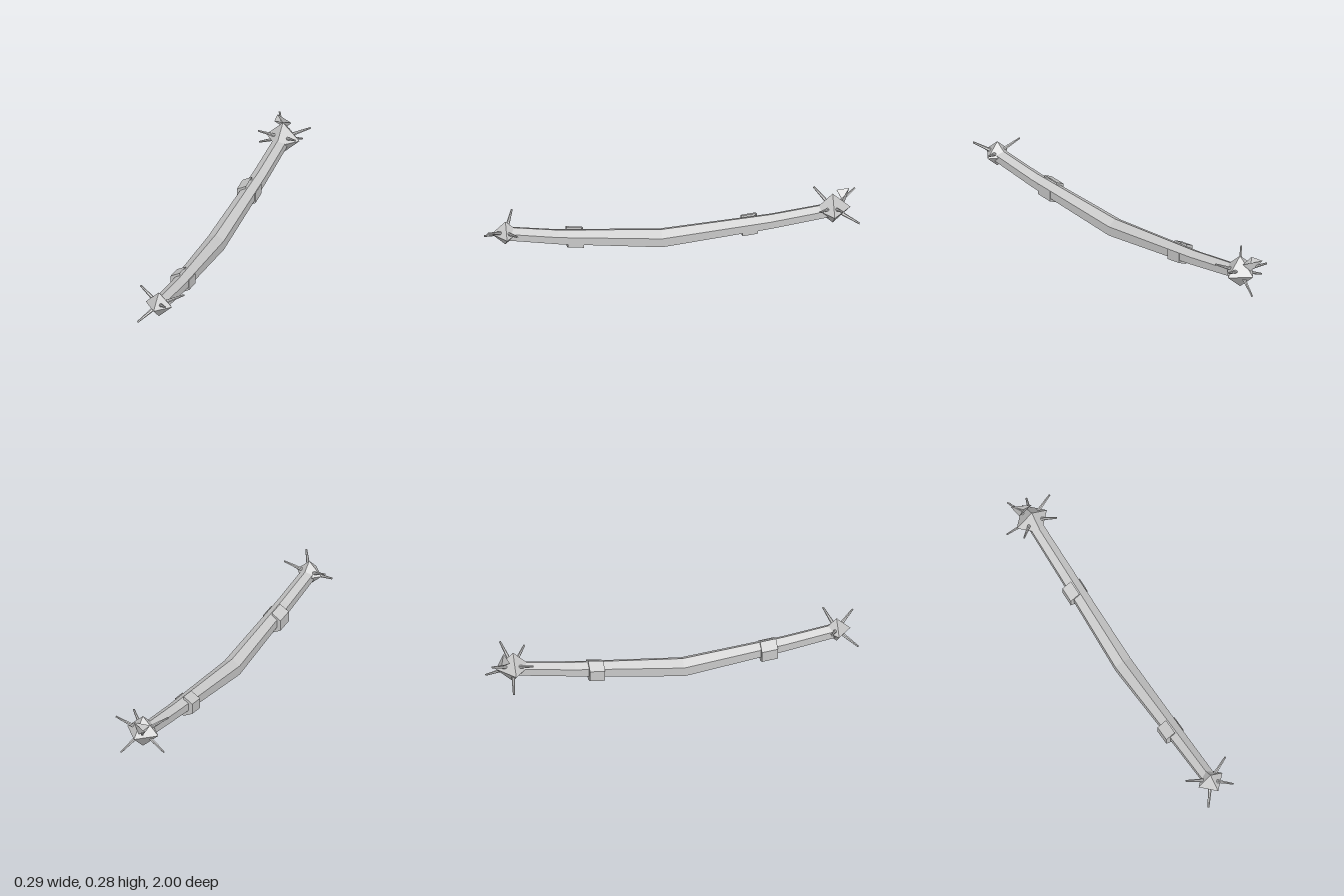
import * as THREE from 'three';

const steel = new THREE.MeshStandardMaterial({
  color: 0xc8c8c8, flatShading: true, side: THREE.DoubleSide,
});
steel.name = 'light grey steel';

function add(parent, name, geometry) {
  const mesh = new THREE.Mesh(geometry, steel);
  mesh.name = name;
  parent.add(mesh);
  return mesh;
}

function facets(positions, index) {
  const g = new THREE.BufferGeometry();
  g.setAttribute('position', new THREE.Float32BufferAttribute(positions, 3));
  g.setIndex(index);
  const flat = g.toNonIndexed();
  flat.computeVertexNormals();
  return flat;
}

// Hexagonal bar through stations [x, y, z, radius], running from front to back.
// Sides start at firstSide; side 0 is the upper one on the model's left.
function hexBar(stations, firstSide = 0) {
  const positions = [], index = [], last = (stations.length - 1) * 7;
  for (const [x, y, z, r] of stations) {
    for (let i = 0; i < 6; i++) {
      const a = Math.PI / 6 + i * Math.PI / 3;
      positions.push(x + r * Math.cos(a), y + r * Math.sin(a), z);
    }
    positions.push(x, y, z); // cap centre
  }
  for (let i = firstSide; i < 6; i++) {
    const j = (i + 1) % 6;
    for (let s = 0; s < last; s += 7) {
      index.push(s + i, s + 7 + i, s + j, s + j, s + 7 + i, s + 7 + j);
    }
    index.push(6, i, j, last + 6, last + j, last + i);
  }
  return facets(positions, index);
}

// Octahedral head with tapered spikes reaching from its centre to the given tips
function spikedHead(name, center, radius, tips) {
  const head = new THREE.Group();
  head.name = name;
  const c = new THREE.Vector3(...center);
  add(head, 'headBlock', new THREE.OctahedronGeometry(radius)).position.copy(c);
  for (const tip of tips) {
    const t = new THREE.Vector3(...tip);
    const dir = t.clone().sub(c);
    const spike = add(head, 'spike', new THREE.CylinderGeometry(0.005, 0.012, dir.length(), 6));
    spike.position.copy(c).add(t).multiplyScalar(0.5);
    spike.quaternion.setFromUnitVectors(new THREE.Vector3(0, 1, 0), dir.normalize());
  }
  return head;
}

export function createModel() {
  const model = new THREE.Group();
  model.name = 'spikedStaff';

  // Bent shaft, thickest at the middle
  add(model, 'shaft', hexBar([
    [0, 0.168, 0.89, 0.041],
    [-0.002, 0.12, 0.61, 0.044],
    [-0.013, 0.055, 0.055, 0.055],
    [-0.002, 0.12, -0.53, 0.044],
    [0, 0.17, -0.86, 0.041],
  ]));

  // Collars wrapped around the shaft, open on one upper side
  for (const [near, far, name] of [[0.562, 0.475, 'frontCollar'], [-0.375, -0.457, 'backCollar']]) {
    const rise = near > 0 ? 0.005 : -0.005;
    add(model, name, hexBar([
      [-0.013, 0.102 + rise, near, 0.062],
      [-0.013, 0.102 - rise, far, 0.062],
    ], 1));
  }

  // Spiked heads
  model.add(spikedHead('frontHead', [0, 0.172, 0.892], 0.075, [
    [-0.08, 0.102, 0.995], [0.078, 0.234, 0.995],
    [-0.124, 0.232, 0.843], [0.126, 0.232, 0.843],
  ]));
  const back = spikedHead('backHead', [0.001, 0.18, -0.862], 0.095, [
    [-0.143, 0.105, -0.885], [0.142, 0.25, -0.905], [-0.105, 0.25, -0.773],
    [0.105, 0.235, -0.78], [0.056, 0.105, -1], [-0.07, 0.25, -0.99],
  ]);
  model.add(back);

  // Hollow three-sided shard on the back head, open at the top
  add(back, 'shard', facets([
    -0.07, 0.252, -0.96, -0.06, 0.252, -0.89, 0.03, 0.252, -0.908, -0.01, 0.2, -0.925,
  ], [0, 3, 1, 1, 3, 2, 0, 2, 3]));

  return model;
}
